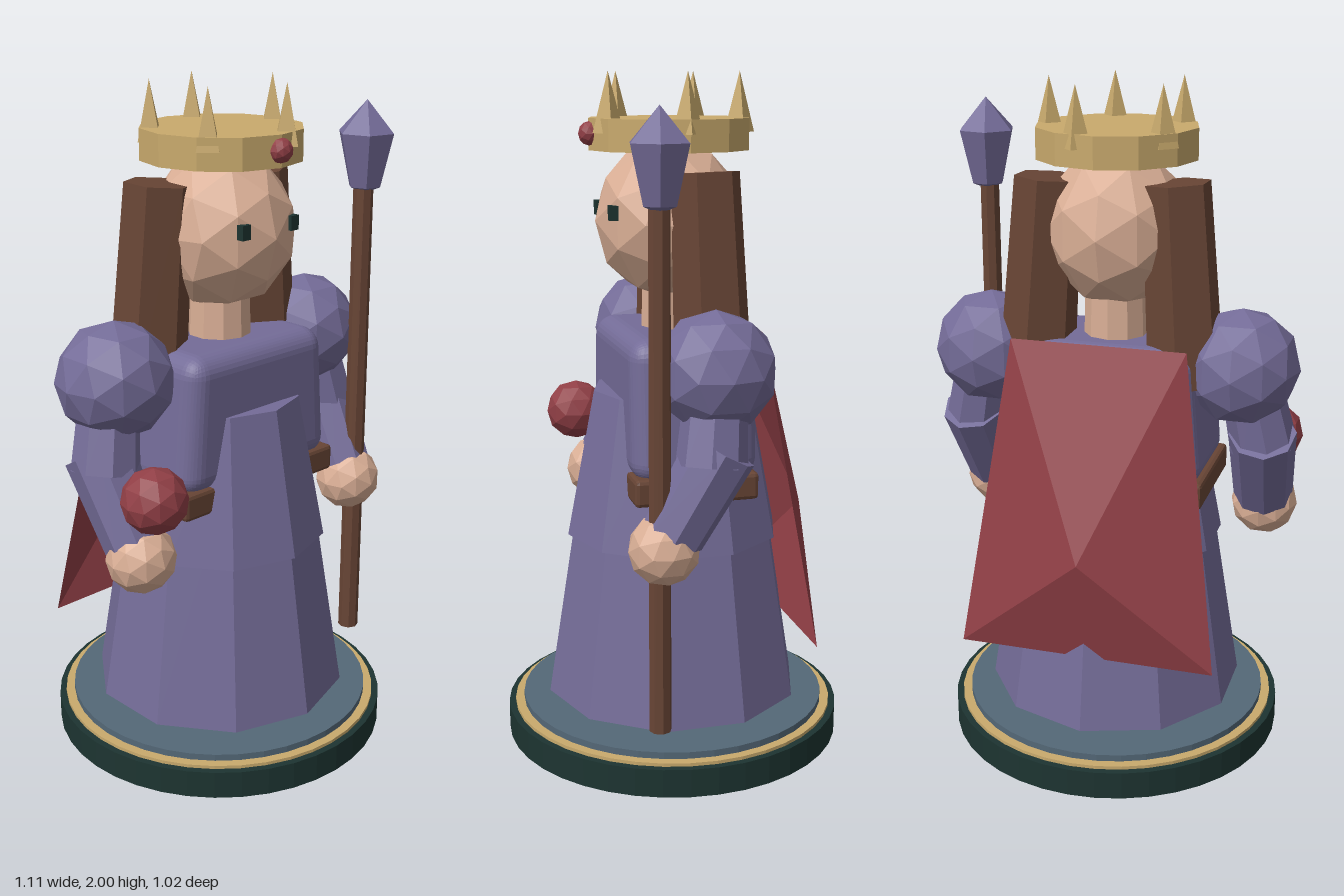
import * as THREE from 'three';
import { RoundedBoxGeometry } from 'three/addons/geometries/RoundedBoxGeometry.js';

const mat = (name, color, extra = {}) => {
  const m = new THREE.MeshStandardMaterial({ color, flatShading: true, ...extra });
  m.name = name;
  return m;
};

export function createModel() {
  const M = {
    robe: mat('robe purple', 0x746c98),
    skin: mat('skin', 0xd9ae95),
    gold: mat('gold', 0xc9aa6d),
    hair: mat('brown', 0x684535),
    red: mat('red', 0x913f46, { side: THREE.DoubleSide }),
    dark: mat('dark green', 0x1d3431),
    slate: mat('slate blue', 0x546877),
  };
  const model = new THREE.Group();
  model.name = 'queenFigure';

  const add = (name, geo, material, x = 0, y = 0, z = 0) => {
    const mesh = new THREE.Mesh(geo, material);
    mesh.name = name;
    mesh.position.set(x, y, z);
    model.add(mesh);
    return mesh;
  };
  // Upright drum or cone between two heights
  const drum = (name, material, rTop, rBottom, y0, y1, sides, x = 0, z = 0) =>
    add(name, new THREE.CylinderGeometry(rTop, rBottom, y1 - y0, sides), material, x, (y0 + y1) / 2, z);
  // Faceted ball
  const ball = (name, material, r, x, y, z, detail = 1) =>
    add(name, new THREE.IcosahedronGeometry(r, detail), material, x, y, z);
  // Tapered limb from point a to point b
  const limb = (name, material, a, b, ra, rb, sides) => {
    const A = new THREE.Vector3(...a), B = new THREE.Vector3(...b);
    const dir = B.clone().sub(A);
    const mesh = add(name, new THREE.CylinderGeometry(rb, ra, dir.length(), sides), material);
    mesh.position.copy(A).addScaledVector(dir, 0.5);
    mesh.quaternion.setFromUnitVectors(new THREE.Vector3(0, 1, 0), dir.normalize());
    return mesh;
  };

  // Base
  drum('base', M.dark, 0.512, 0.512, 0, 0.085, 40);
  drum('baseRim', M.gold, 0.492, 0.492, 0.08, 0.095, 40);
  drum('baseTop', M.slate, 0.465, 0.465, 0.085, 0.115, 40);

  // Gown: skirt, overskirt and tapered bodice
  drum('skirt', M.robe, 0.264, 0.39, 0.14, 0.93, 10);
  drum('overskirt', M.robe, 0.24, 0.325, 0.64, 1.08, 10);
  const bodice = new RoundedBoxGeometry(0.56, 0.41, 0.37, 4, 0.06);
  const p = bodice.attributes.position;
  for (let i = 0; i < p.count; i++) {
    p.setX(i, p.getX(i) * (1 - 0.12 * p.getY(i) / 0.41));
  }
  add('bodice', bodice, M.robe, 0, 1.063, 0);
  add('belt', new RoundedBoxGeometry(0.61, 0.08, 0.365, 1, 0.012), M.hair, 0, 0.84, 0.005);

  // Head, neck and face
  drum('neck', M.skin, 0.09, 0.095, 1.24, 1.42, 10);
  ball('head', M.skin, 0.22, 0, 1.58, 0.01).scale.set(0.98, 1.06, 1);

  // Crown with five spikes and a jewel
  drum('crownBand', M.gold, 0.236, 0.236, 1.78, 1.87, 12, 0, 0.01);
  for (let i = 0; i < 5; i++) {
    const a = (i / 5) * Math.PI * 2;
    add('crownSpike', new THREE.ConeGeometry(0.045, 0.17, 4), M.gold,
      Math.cos(a) * 0.202, 1.915, 0.01 + Math.sin(a) * 0.202);
  }
  ball('crownJewel', M.red, 0.036, 0, 1.827, 0.24);

  // Mirrored parts
  for (const s of [1, -1]) {
    add('eye', new THREE.BoxGeometry(0.03, 0.042, 0.03), M.dark, s * 0.095, 1.61, 0.195);
    limb('hairLock', M.hair, [s * 0.228, 1.15, -0.06], [s * 0.188, 1.725, -0.045], 0.115, 0.1, 6);
    ball('puffSleeve', M.robe, 0.172, s * 0.382, 1.2, -0.02);
    limb('upperArm', M.robe, [s * 0.4, 1.2, -0.02], [s * 0.45, 0.95, 0.01], 0.085, 0.1, 8);
    limb('forearm', M.robe, [s * 0.45, 1.0, -0.02], [s * 0.435, 0.76, 0.115], 0.1, 0.09, 8);
    ball('hand', M.skin, 0.102, s * 0.435, 0.722, 0.14);
    ball('shoe', M.hair, 0.11, s * 0.16, 0.14, 0.1).scale.set(1, 0.35, 1.6);
  }

  // Orb above the right hand
  ball('orb', M.red, 0.096, -0.44, 0.92, 0.208);

  // Staff with a faceted crystal
  drum('staff', M.hair, 0.03, 0.032, 0.19, 1.68, 8, 0.447, 0.155);
  const crystal = [[0, 1.64], [0.05, 1.66], [0.088, 1.82], [0, 1.915]]
    .map(([r, y]) => new THREE.Vector2(r, y));
  add('staffCrystal', new THREE.LatheGeometry(crystal, 6), M.robe, 0.452, 0, 0.155)
    .rotation.y = 0.3;

  // Cape: four corners drawn out to a billowing centre
  const cape = new THREE.BufferGeometry();
  cape.setAttribute('position', new THREE.Float32BufferAttribute([
    -0.26, 1.28, -0.195, 0.26, 1.28, -0.195,
    0.385, 0.36, -0.335, -0.385, 0.36, -0.335,
    0, 0.69, -0.412,
  ], 3));
  cape.setIndex([0, 1, 4, 1, 2, 4, 2, 3, 4, 3, 0, 4]);
  cape.computeVertexNormals();
  add('cape', cape, M.red);

  return model;
}
